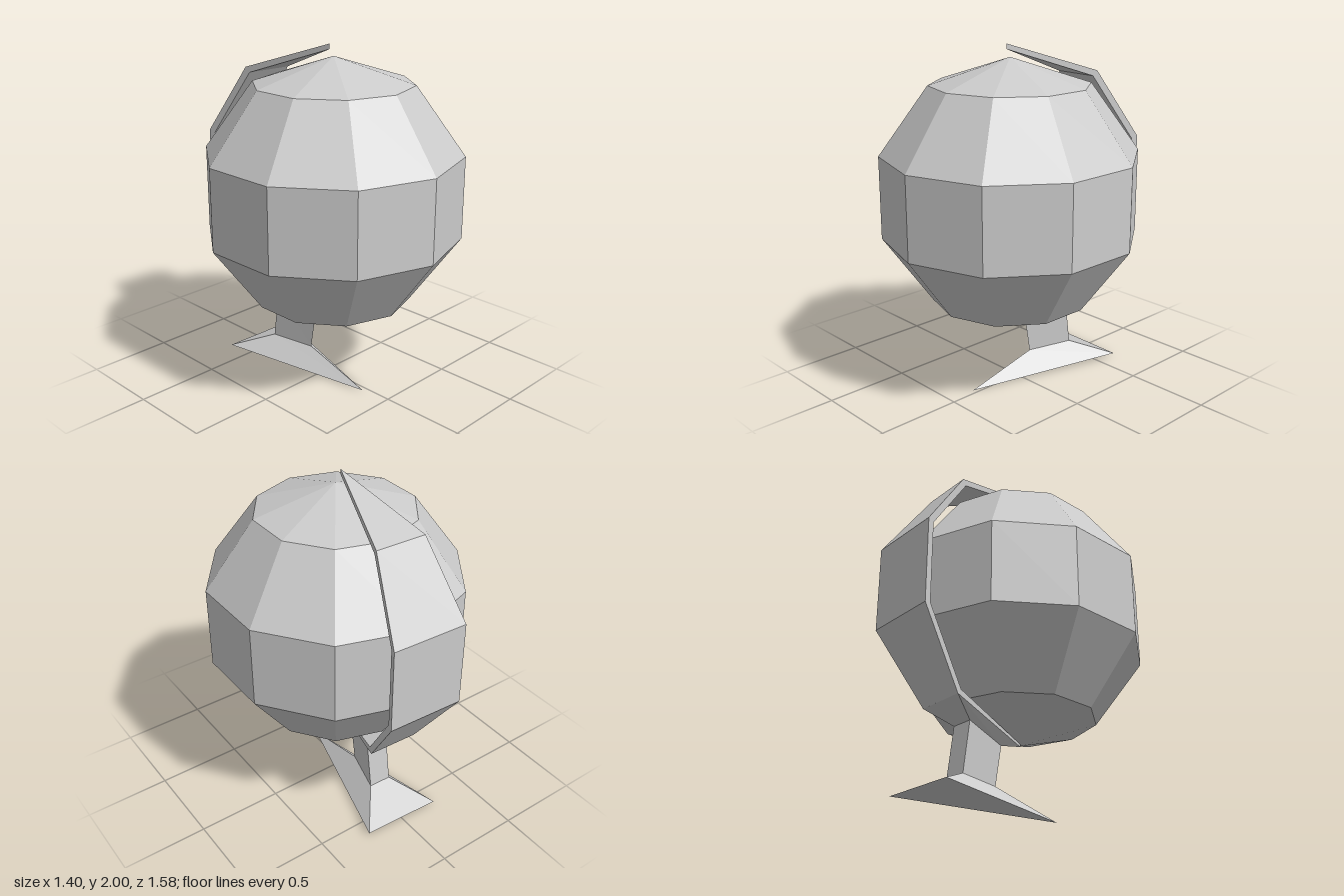
import * as THREE from 'three';

const material = new THREE.MeshStandardMaterial({ color: 0xcccccc, flatShading: true });

function addMesh(group, name, geometry) {
  const mesh = new THREE.Mesh(geometry, material);
  mesh.name = name;
  group.add(mesh);
  return mesh;
}

// Joins rings of corners, listed from top to bottom and counter-clockwise
// seen from above; the last ring may be closed by a bottom face.
function loft(rings, capBottom) {
  const positions = [];
  const triangle = (a, b, c) => {
    const t = new THREE.Triangle(new THREE.Vector3(...a), new THREE.Vector3(...b), new THREE.Vector3(...c));
    if (t.getArea() > 1e-6) positions.push(...a, ...b, ...c);
  };
  for (let i = 0; i < rings.length - 1; i++) {
    const top = rings[i], low = rings[i + 1], n = top.length;
    for (let j = 0; j < n; j++) {
      const k = (j + 1) % n;
      triangle(top[j], low[j], low[k]);
      triangle(top[j], low[k], top[k]);
    }
  }
  if (capBottom) {
    const last = rings[rings.length - 1];
    for (let j = 1; j < last.length - 1; j++) triangle(last[0], last[j + 1], last[j]);
  }
  const geometry = new THREE.BufferGeometry();
  geometry.setAttribute('position', new THREE.Float32BufferAttribute(positions, 3));
  geometry.computeVertexNormals();
  return geometry;
}

export function createModel() {
  const group = new THREE.Group();

  // Faceted ball
  const ball = new THREE.SphereGeometry(0.773, 10, 5);
  ball.rotateY(Math.PI / 2);
  addMesh(group, 'globe', ball).position.set(0, 1.158, 0.052);

  // Wedge-shaped arm: narrow at both poles, widest behind the ball
  const axisX = -0.03, axisZ = 0.05;
  const pole = (outerY, innerY) => [
    [axisX, outerY, axisZ], [axisX, outerY, axisZ],
    [axisX, innerY, axisZ], [axisX, innerY, axisZ],
  ];
  const section = (reach, outerY, innerY) => {
    const corner = (dx, dz, scale, y) => [axisX + dx * reach * scale, y, axisZ + dz * reach * scale];
    return [
      corner(0.27, -0.82, 1, outerY), corner(-0.18, -0.84, 1, outerY),
      corner(-0.18, -0.84, 0.953, innerY), corner(0.27, -0.82, 0.953, innerY),
    ];
  };
  addMesh(group, 'arm', loft([
    pole(2.0, 1.97),
    section(0.665, 1.82, 1.79),
    section(1, 1.41, 1.4),
    section(1, 0.91, 0.922),
    section(0.665, 0.505, 0.535),
    pole(0.375, 0.39),
  ]));

  // Three-sided stand: collar under the arm, column and spreading foot
  addMesh(group, 'stand', loft([
    [[axisX, 0.375, axisZ], [0.15, 0.505, -0.495], [-0.15, 0.505, -0.509]],
    [[-0.015, 0.355, -0.08], [0.065, 0.42, -0.35], [-0.07, 0.42, -0.355]],
    [[-0.015, 0.12, -0.12], [0.065, 0.125, -0.39], [-0.07, 0.125, -0.395]],
    [[-0.03, 0, 0.33], [0.245, 0.025, -0.615], [-0.23, 0.02, -0.635]],
  ], true));

  return group;
}
